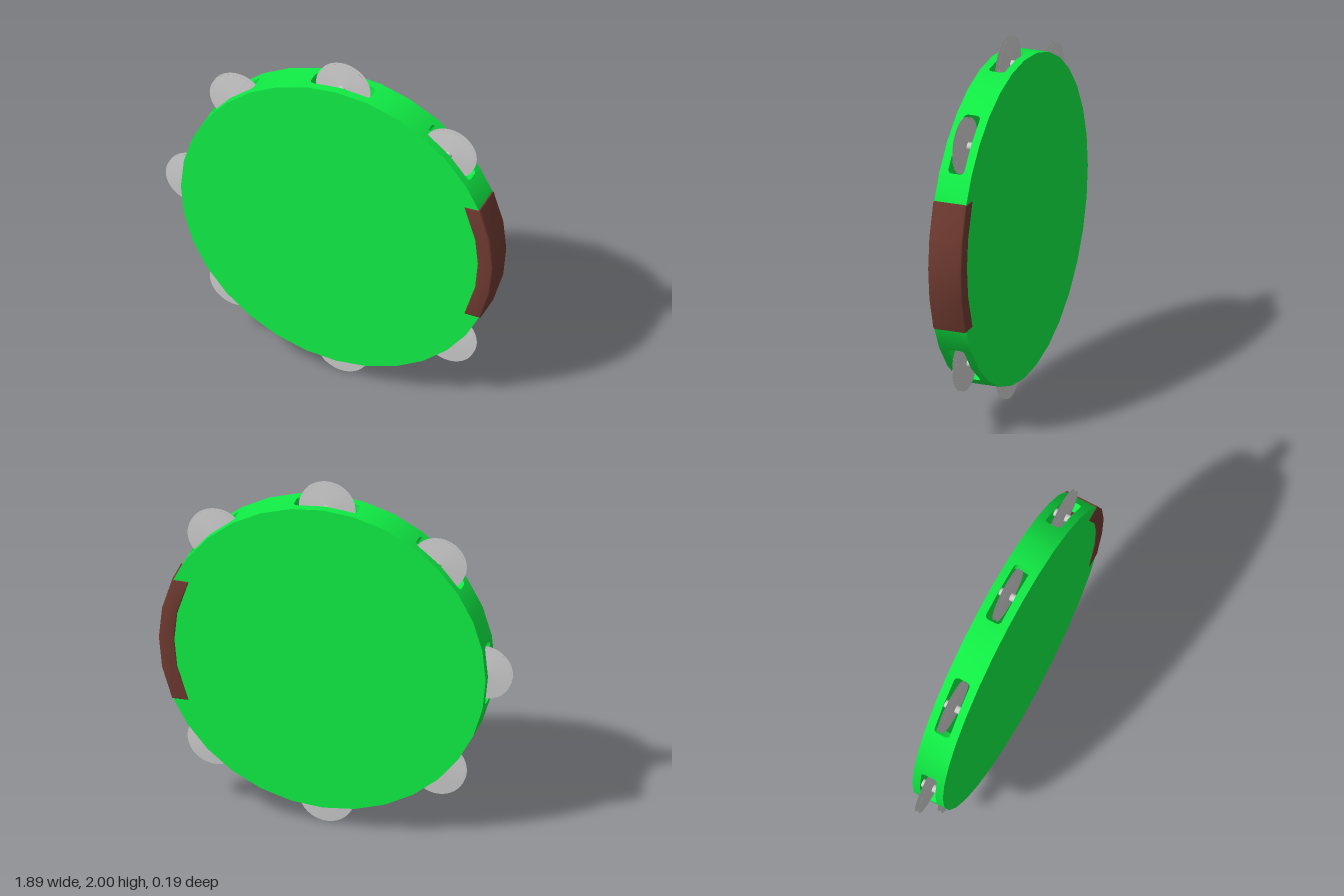
import * as THREE from 'three';
import { mergeGeometries, toCreasedNormals } from 'three/addons/utils/BufferGeometryUtils.js';

const SEG = 32, STEP = (Math.PI * 2) / SEG;
const R_OUT = 0.88, R_IN = 0.83, HALF = 0.09;   // rim radii and half depth
const SLOT = 0.045, FILLET = 0.025;             // slot half height and corner radius
const R_JINGLE = 0.85;                          // distance of jingle pins from the centre
const CHORD = 2 * R_OUT * Math.sin(STEP / 2);

const green = new THREE.MeshStandardMaterial({ color: 0x10ec44 });
const brown = new THREE.MeshStandardMaterial({ color: 0x6e3a30 });
const grey = new THREE.MeshStandardMaterial({ color: 0xcccccc });

function part(name, geometry, material) {
  const mesh = new THREE.Mesh(geometry, material);
  mesh.name = name;
  return mesh;
}

// Flat outline of one plain rim facet
function plainOutline() {
  return [new THREE.Shape([[0, -HALF], [CHORD, -HALF], [CHORD, HALF], [0, HALF]].map(p => new THREE.Vector2(...p)))];
}

// Two bars above and below half a slot; the slot starts at u = 0 and ends rounded at u = CHORD
function slottedOutline(flip) {
  return [1, -1].map(s => {
    const u = x => (flip ? CHORD - x : x);
    const shape = new THREE.Shape();
    shape.moveTo(u(0), s * HALF);
    shape.lineTo(u(0), s * SLOT);
    shape.lineTo(u(CHORD - FILLET), s * SLOT);
    shape.quadraticCurveTo(u(CHORD), s * SLOT, u(CHORD), s * (SLOT - FILLET));
    shape.lineTo(u(CHORD), s * HALF);
    return shape;
  });
}

// Thicken a facet outline and place it on the rim from angle a to a + STEP
function rimFacet(shapes, a) {
  const g = new THREE.ExtrudeGeometry(shapes, { depth: R_OUT - R_IN, bevelEnabled: false, curveSegments: 5 });
  const p = g.attributes.position;
  for (let i = 0; i < p.count; i++) {
    const t = p.getX(i) / CHORD, z = p.getY(i), r = R_IN + p.getZ(i);
    p.setXYZ(i,
      r * ((1 - t) * Math.cos(a) + t * Math.cos(a + STEP)),
      r * ((1 - t) * Math.sin(a) + t * Math.sin(a + STEP)), z);
  }
  return g;
}

function rimGeometry() {
  const facets = [];
  for (let i = 0; i < SEG; i++) {
    // slots are centred on every fourth corner except the one under the grip
    const after = i % 4 === 0 && i !== 0;
    const before = i % 4 === 3 && i !== SEG - 1;
    const shapes = after || before ? slottedOutline(before) : plainOutline();
    facets.push(rimFacet(shapes, i * STEP));
  }
  const merged = mergeGeometries(facets);
  merged.deleteAttribute('uv');
  return toCreasedNormals(merged, 0.4);
}

// Grip: arc band with level ends and softened edges
function gripGeometry() {
  const bevel = 0.012, endY = 0.353 - bevel;
  const arc = r => {
    const end = Math.asin(endY / r);
    return [-end, -STEP, 0, STEP, end].map(a => new THREE.Vector2(r * Math.cos(a), r * Math.sin(a)));
  };
  const shape = new THREE.Shape([...arc(0.885 - bevel), ...arc(0.797 + bevel).reverse()]);
  const depth = 2 * (0.095 - bevel);
  const g = new THREE.ExtrudeGeometry(shape, { depth, bevelSize: bevel, bevelThickness: bevel, bevelSegments: 3 });
  g.translate(0, 0, -depth / 2);
  return toCreasedNormals(g, 0.6);
}

// Thin lens-shaped disc, axis along z
function discGeometry() {
  const profile = [[0, -0.009], [0.07, -0.005], [0.15, -0.0005], [0.15, 0.0005], [0.07, 0.005], [0, 0.009]];
  const g = new THREE.LatheGeometry(profile.map(p => new THREE.Vector2(...p)), 40);
  return g.rotateX(Math.PI / 2);
}

export function createModel() {
  const model = new THREE.Group();
  model.name = 'tambourine';
  const body = new THREE.Group();
  body.name = 'body';
  body.position.set(0.0575, 1, 0);
  model.add(body);

  body.add(part('rim', rimGeometry(), green));

  // Skins closing both sides of the rim
  const skin = new THREE.CylinderGeometry(R_IN, R_IN, 0.01, SEG).rotateX(Math.PI / 2);
  for (const s of [1, -1]) {
    const mesh = part(s > 0 ? 'frontSkin' : 'backSkin', skin, green);
    mesh.position.z = s * (HALF - 0.005);
    body.add(mesh);
  }

  body.add(part('grip', gripGeometry(), brown));

  // Paired jingles on pins, one pair in each slot
  const disc = discGeometry();
  const pin = new THREE.CylinderGeometry(0.021, 0.021, 0.11, 16).rotateX(Math.PI / 2);
  for (let k = 1; k < 8; k++) {
    const a = (k * Math.PI) / 4;
    const jingle = new THREE.Group();
    jingle.name = 'jingle';
    jingle.position.set(R_JINGLE * Math.cos(a), R_JINGLE * Math.sin(a), 0);
    jingle.add(part('jinglePin', pin, grey));
    for (const s of [1, -1]) {
      const mesh = part('jingleDisc', disc, grey);
      mesh.position.z = s * 0.01;
      jingle.add(mesh);
    }
    body.add(jingle);
  }
  return model;
}
